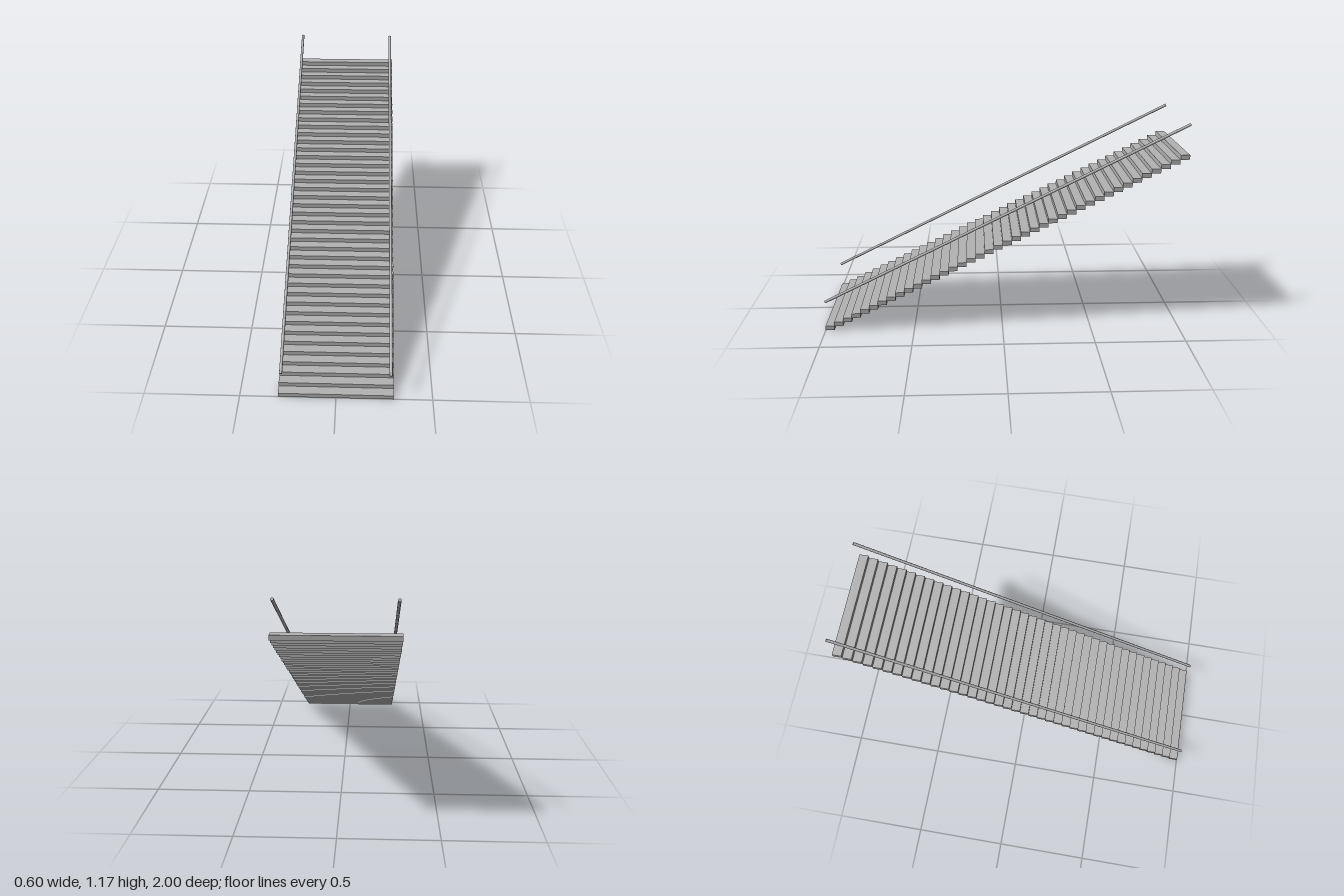
import * as THREE from 'three';

export function createModel() {
  const group = new THREE.Group();
  const grey = new THREE.MeshStandardMaterial({ color: 0xb3b3b3 });
  grey.name = 'grey';

  // Treads: each rises by its own height and sits one depth further back
  const count = 40, width = 0.6, rise = 0.025, run = 0.05;
  const stepGeometry = new THREE.BoxGeometry(width, rise, run);
  const steps = new THREE.Group();
  steps.name = 'steps';
  for (let i = 0; i < count; i++) {
    const step = new THREE.Mesh(stepGeometry, grey);
    step.name = `step${i + 1}`;
    step.position.set(0, (i + 0.5) * rise, 1 - (i + 0.5) * run);
    steps.add(step);
  }
  group.add(steps);

  // Round handrails parallel to the flight
  const slope = Math.atan2(rise, run);
  const railGeometry = new THREE.CylinderGeometry(0.008, 0.008, 2.228, 12);
  for (const side of [-1, 1]) {
    const rail = new THREE.Mesh(railGeometry, grey);
    rail.name = side > 0 ? 'leftHandrail' : 'rightHandrail';
    rail.position.set(side * 0.28, 0.664, 0);
    rail.rotation.x = slope - Math.PI / 2;
    group.add(rail);
  }
  return group;
}
